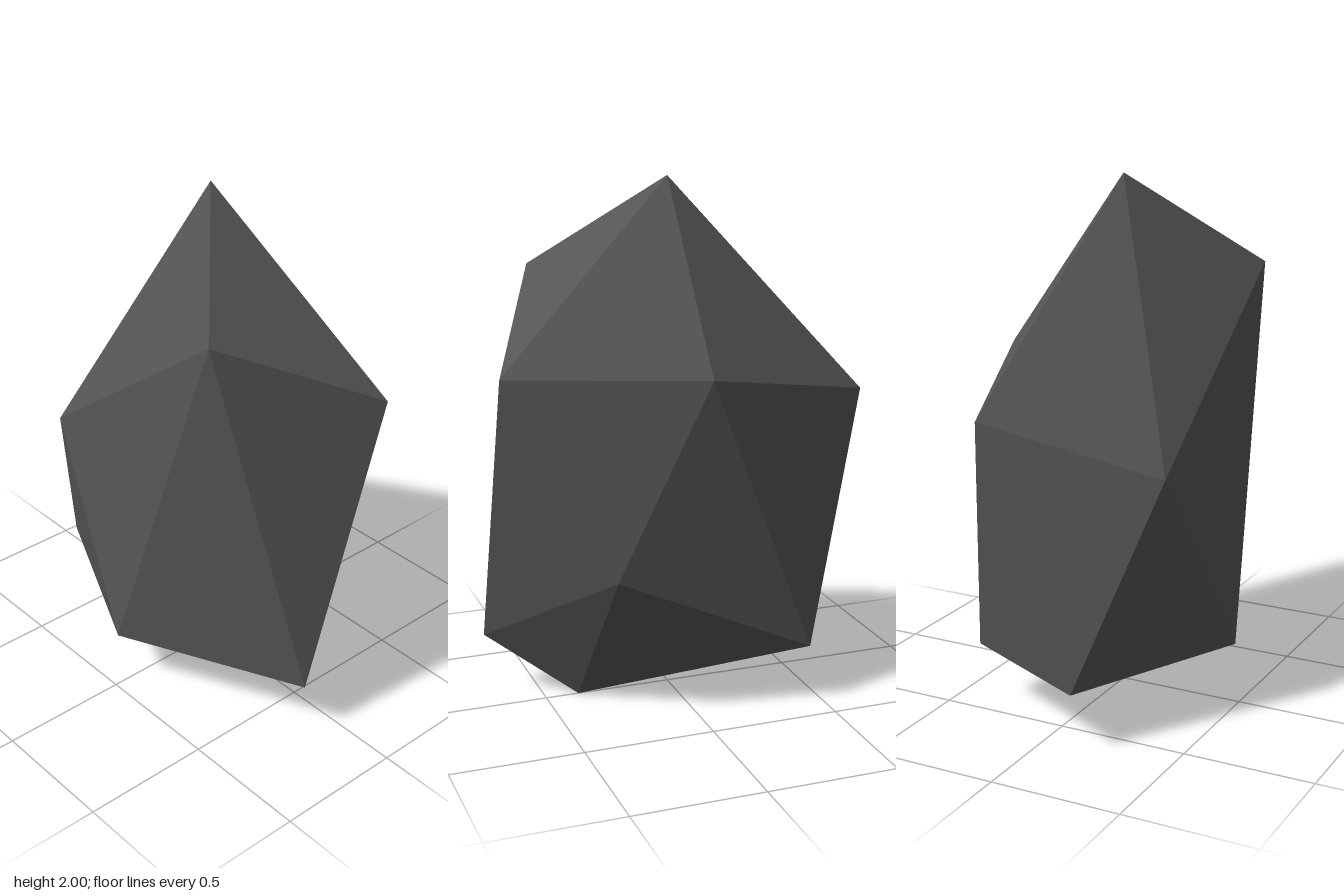
import * as THREE from 'three';

export function createModel() {
  const group = new THREE.Group();
  group.name = 'rock';

  const stone = new THREE.MeshStandardMaterial({ color: 0x555555 });
  stone.name = 'dark grey stone';
  stone.flatShading = true;

  // Two staggered five-corner rings between a peak and a foot
  const peak = [0, 2, 0];
  const foot = [0, 0, 0.37];
  const upper = [
    [-0.39, 1.64, 0.435], [0.21, 1.33, 0.705], [0.48, 1.33, 0],
    [0.22, 1.19, -0.705], [-0.39, 0.99, -0.44],
  ];
  const lower = [
    [-0.15, 0.235, 0.705], [0.39, 0.585, 0.33], [0.39, 0.235, -0.44],
    [-0.15, 0.235, -0.705], [-0.48, 0.235, 0],
  ];

  // Cap, zigzag band and base triangles, kept separate for hard facets
  const corners = [];
  for (let i = 0; i < 5; i++) {
    const j = (i + 1) % 5;
    corners.push(
      peak, upper[i], upper[j],
      upper[i], lower[i], upper[j],
      lower[i], lower[j], upper[j],
      foot, lower[j], lower[i],
    );
  }
  const geometry = new THREE.BufferGeometry();
  geometry.setAttribute('position', new THREE.Float32BufferAttribute(corners.flat(), 3));
  geometry.computeVertexNormals();

  const boulder = new THREE.Mesh(geometry, stone);
  boulder.name = 'boulder';
  group.add(boulder);
  return group;
}
